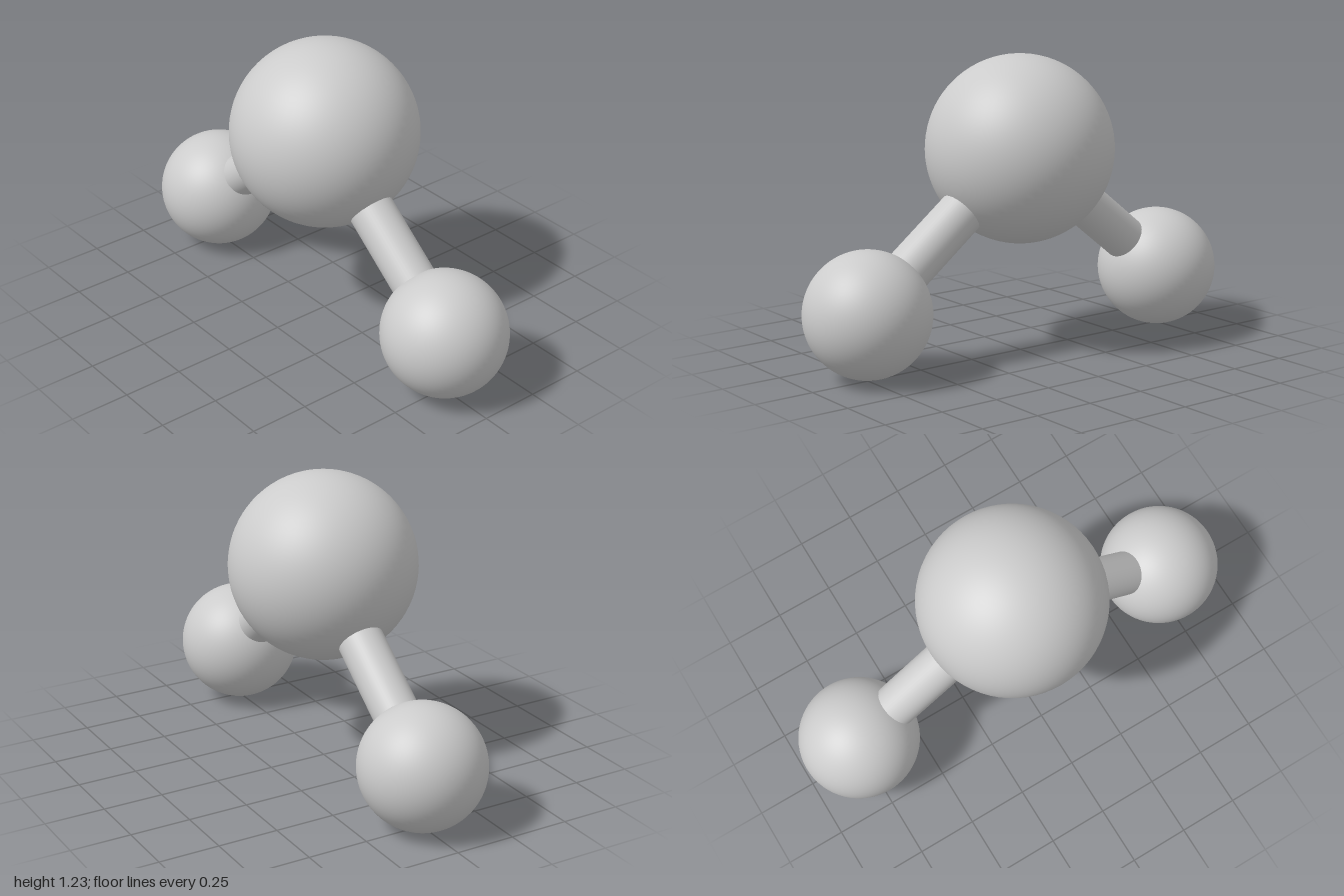
import * as THREE from 'three';

const material = new THREE.MeshStandardMaterial({ color: 0xcccccc });

function ball(name, radius, center) {
  const mesh = new THREE.Mesh(new THREE.SphereGeometry(radius, 64, 40), material);
  mesh.name = name;
  mesh.position.copy(center);
  return mesh;
}

// Round rod running between two points
function rod(name, radius, from, to) {
  const axis = to.clone().sub(from);
  const mesh = new THREE.Mesh(new THREE.CylinderGeometry(radius, radius, axis.length(), 48), material);
  mesh.name = name;
  mesh.position.copy(from).addScaledVector(axis, 0.5);
  mesh.quaternion.setFromUnitVectors(new THREE.Vector3(0, 1, 0), axis.normalize());
  return mesh;
}

export function createModel() {
  const model = new THREE.Group();
  model.name = 'bentMolecule';

  // Large central atom
  const center = new THREE.Vector3(0.003, 0.843, 0);
  model.add(ball('centralAtom', 0.385, center));

  // Two small atoms, each joined to the centre by a bond; the left one sits slightly higher
  const ends = [
    ['left', new THREE.Vector3(0.746, 0.265, 0)],
    ['right', new THREE.Vector3(-0.747, 0.254, 0)],
  ];
  for (const [side, position] of ends) {
    model.add(ball(side + 'Atom', 0.254, position));
    model.add(rod(side + 'Bond', 0.093, center, position));
  }
  return model;
}
